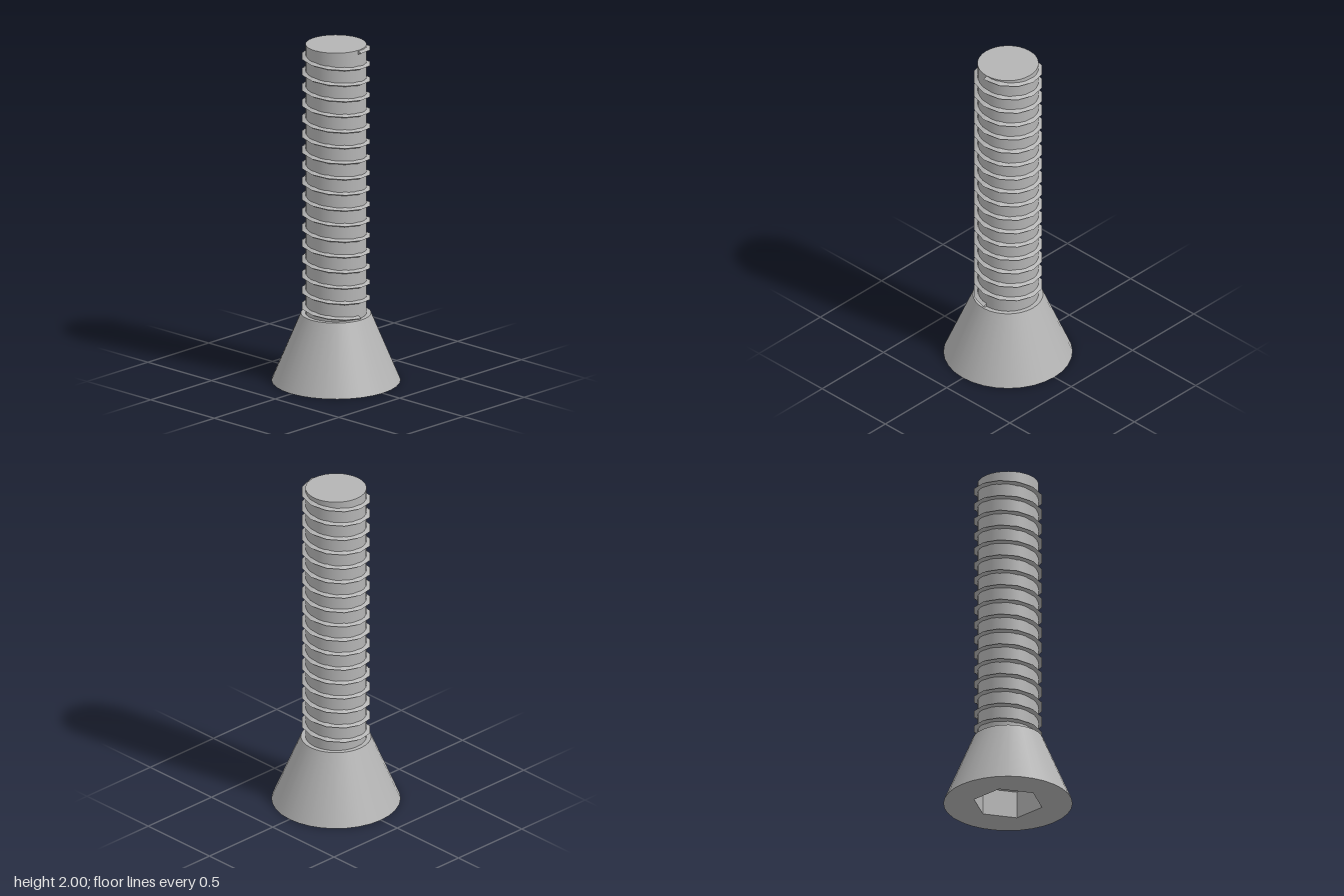
import * as THREE from 'three';

const steel = new THREE.MeshStandardMaterial({ color: 0xb4b4b4 });
steel.name = 'steel grey';

const HEAD_HEIGHT = 0.4, HEAD_RADIUS = 0.367, NECK_RADIUS = 0.2;
const SHAFT_RADIUS = 0.174, TOP = 2;
const SOCKET_RADIUS = 0.2, SOCKET_DEPTH = 0.16;

function add(group, name, geometry, y = 0) {
  const mesh = new THREE.Mesh(geometry, steel);
  mesh.name = name;
  mesh.position.y = y;
  group.add(mesh);
  return mesh;
}

// points of a regular polygon, first point on the z axis
function ring(radius, sides) {
  return Array.from({ length: sides }, (_, i) => {
    const a = (i / sides) * Math.PI * 2;
    return new THREE.Vector2(Math.sin(a) * radius, Math.cos(a) * radius);
  });
}

// triangular ridge swept along a helix, faceted, closed at both ends
function threadGeometry({ turns, sides, y0, y1, inner, outer, half }) {
  const steps = turns * sides;
  const pos = [], index = [];
  for (let i = 0; i <= steps; i++) {
    const a = (i / sides) * Math.PI * 2;
    const y = y0 + (y1 - y0) * i / steps;
    for (const [r, dy] of [[inner, -half], [outer, 0], [inner, half]]) {
      pos.push(Math.cos(a) * r, y + dy, Math.sin(a) * r);
    }
    if (i < steps) {
      for (const k of [0, 1]) {
        const p = i * 3 + k;
        index.push(p, p + 1, p + 3, p + 1, p + 4, p + 3);
      }
    }
  }
  const e = steps * 3;
  index.push(0, 2, 1, e, e + 1, e + 2);
  const g = new THREE.BufferGeometry();
  g.setAttribute('position', new THREE.Float32BufferAttribute(pos, 3));
  g.setIndex(index);
  const flat = g.toNonIndexed();
  flat.computeVertexNormals();
  return flat;
}

export function createModel() {
  const screw = new THREE.Group();
  screw.name = 'countersunkScrew';

  // conical head
  add(screw, 'headCone', new THREE.CylinderGeometry(
    NECK_RADIUS, HEAD_RADIUS, HEAD_HEIGHT, 32, 1, true), HEAD_HEIGHT / 2);
  add(screw, 'headShoulder', new THREE.CircleGeometry(NECK_RADIUS, 32)
    .rotateX(-Math.PI / 2), HEAD_HEIGHT);

  // flat underside of the head with a hexagonal opening
  const face = new THREE.Shape(ring(HEAD_RADIUS, 32));
  face.holes.push(new THREE.Path(ring(SOCKET_RADIUS, 6)));
  add(screw, 'headFace', new THREE.ShapeGeometry(face).rotateX(Math.PI / 2));

  // socket walls, turned to face inwards
  const walls = new THREE.CylinderGeometry(
    SOCKET_RADIUS, SOCKET_RADIUS, SOCKET_DEPTH, 6, 1, true);
  walls.scale(-1, 1, 1);
  const inward = walls.toNonIndexed();
  inward.computeVertexNormals();
  add(screw, 'socketWalls', inward, SOCKET_DEPTH / 2);
  add(screw, 'socketFloor', new THREE.ShapeGeometry(
    new THREE.Shape(ring(SOCKET_RADIUS, 6))).rotateX(Math.PI / 2), SOCKET_DEPTH);

  // plain core of the shaft
  add(screw, 'shaft', new THREE.CylinderGeometry(
    SHAFT_RADIUS, SHAFT_RADIUS, TOP - HEAD_HEIGHT, 32), (TOP + HEAD_HEIGHT) / 2);

  // helical thread
  add(screw, 'thread', threadGeometry({
    turns: 17, sides: 12, y0: HEAD_HEIGHT + 0.008, y1: TOP - 0.013,
    inner: 0.172, outer: NECK_RADIUS, half: 0.013,
  }));

  return screw;
}
